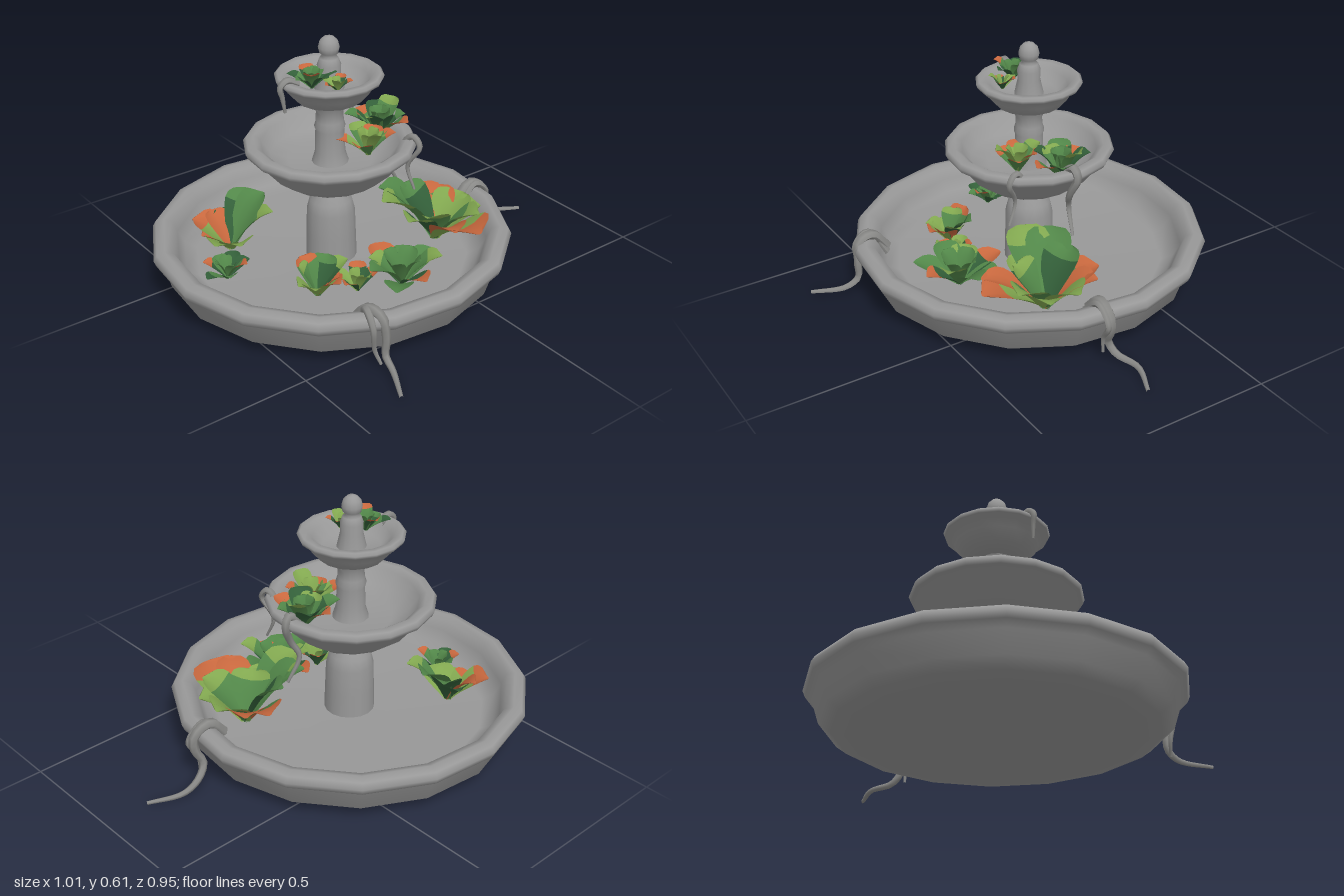
import * as THREE from 'three';

const mat = (name, color, side = THREE.FrontSide) => {
  const m = new THREE.MeshStandardMaterial({ color, side });
  m.name = name;
  return m;
};
const CX = -0.184, CZ = 0.165; // fountain axis

export function createModel() {
  const root = new THREE.Group();
  root.name = 'fountain';
  const stone = mat('stone grey', 0x989898);
  const vineMat = mat('vine grey', 0x8a8a88);
  const light = mat('leaf light green', 0x82a850, THREE.DoubleSide);
  const green = mat('leaf green', 0x528749, THREE.DoubleSide);
  const dark = mat('leaf dark green', 0x335f39, THREE.DoubleSide);
  const orange = mat('leaf orange', 0xc8683e, THREE.DoubleSide);

  // Turned stone parts: profiles run from bottom outside to top inside
  function turned(name, profile, sides) {
    const pts = profile.map(([r, y]) => new THREE.Vector2(r, y));
    const mesh = new THREE.Mesh(new THREE.LatheGeometry(pts, sides, 0.087), stone);
    mesh.name = name;
    mesh.position.set(CX, 0, CZ);
    root.add(mesh);
  }
  turned('lowerBasin', [[0, 0.575], [0.32, 0.575], [0.37, 0.585], [0.397, 0.605], [0.413, 0.655],
    [0.43, 0.668], [0.436, 0.683], [0.428, 0.697], [0.408, 0.702], [0.388, 0.695],
    [0.376, 0.67], [0.36, 0.64], [0.33, 0.624], [0, 0.62]], 16);
  turned('middleBowl', [[0, 0.815], [0.075, 0.82], [0.115, 0.833], [0.15, 0.86], [0.18, 0.9],
    [0.2, 0.91], [0.205, 0.921], [0.198, 0.931], [0.18, 0.933], [0.164, 0.922],
    [0.142, 0.89], [0.1, 0.875], [0, 0.872]], 16);
  turned('topBowl', [[0, 1.017], [0.045, 1.02], [0.078, 1.035], [0.1, 1.06], [0.11, 1.077],
    [0.124, 1.084], [0.127, 1.092], [0.12, 1.098], [0.104, 1.097], [0.092, 1.083],
    [0.068, 1.062], [0, 1.055]], 16);
  turned('lowerStem', [[0.062, 0.615], [0.06, 0.68], [0.058, 0.745], [0.051, 0.773], [0.039, 0.79],
    [0.036, 0.803], [0.055, 0.822]], 16);
  turned('upperStem', [[0.045, 0.87], [0.036, 0.9], [0.034, 0.955], [0.037, 0.965], [0.033, 0.978],
    [0.032, 1.0], [0.042, 1.022]], 14);
  turned('finial', [[0.036, 1.055], [0.027, 1.095], [0.028, 1.118], [0.022, 1.134], [0.015, 1.139],
    [0.022, 1.147], [0.025, 1.16], [0.021, 1.175], [0.012, 1.184], [0, 1.187]], 14);

  // Tapering vines
  function vine(name, points, radius) {
    const curve = new THREE.CatmullRomCurve3(points.map(p => new THREE.Vector3(...p)));
    const n = 24, sides = 6;
    const geo = new THREE.TubeGeometry(curve, n, radius, sides);
    const pos = geo.attributes.position, v = new THREE.Vector3();
    for (let i = 0; i < pos.count; i++) {
      const t = Math.floor(i / (sides + 1)) / n;
      const c = curve.getPointAt(t);
      v.fromBufferAttribute(pos, i).sub(c).multiplyScalar(1 - 0.7 * t).add(c);
      pos.setXYZ(i, v.x, v.y, v.z);
    }
    geo.computeVertexNormals();
    const mesh = new THREE.Mesh(geo, vineMat);
    mesh.name = name;
    root.add(mesh);
  }
  vine('frontVine', [[-0.35, 0.66, 0.48], [-0.345, 0.706, 0.52], [-0.338, 0.70, 0.557], [-0.332, 0.65, 0.567],
    [-0.335, 0.605, 0.568], [-0.34, 0.585, 0.6], [-0.378, 0.577, 0.676]], 0.015);
  vine('frontVineStrand', [[-0.34, 0.65, 0.485], [-0.355, 0.71, 0.525], [-0.362, 0.68, 0.558], [-0.355, 0.62, 0.555],
    [-0.345, 0.585, 0.565]], 0.012);
  vine('leftVine', [[0.165, 0.67, 0.228], [0.205, 0.71, 0.228], [0.247, 0.69, 0.23], [0.248, 0.655, 0.228],
    [0.23, 0.615, 0.222], [0.25, 0.588, 0.213], [0.31, 0.581, 0.196], [0.39, 0.577, 0.228]], 0.015);
  vine('leftVineStrand', [[0.17, 0.67, 0.24], [0.215, 0.71, 0.238], [0.256, 0.675, 0.24], [0.233, 0.63, 0.237],
    [0.23, 0.59, 0.235]], 0.012);
  vine('middleVine', [[-0.05, 0.90, 0.26], [-0.04, 0.942, 0.295], [-0.035, 0.92, 0.315], [-0.05, 0.865, 0.29],
    [-0.045, 0.81, 0.31]], 0.01);
  vine('middleSideVine', [[-0.03, 0.91, 0.17], [0.01, 0.942, 0.168], [0.021, 0.92, 0.165], [0, 0.87, 0.172],
    [-0.018, 0.83, 0.162], [0.012, 0.766, 0.17]], 0.013);
  vine('topVine', [[-0.27, 1.09, 0.16], [-0.3, 1.103, 0.16], [-0.316, 1.09, 0.16], [-0.312, 1.065, 0.162],
    [-0.308, 1.03, 0.165]], 0.011);

  // One cupped leaf pointing along +x, with its tip as a second material
  function leafGeometry(len, width, tilt) {
    const rows = 8, cols = 4, pos = [], idx = [];
    for (let i = 0; i <= rows; i++) {
      const t = i / rows;
      const half = width / 2 * (0.25 * (1 - t) + Math.pow(Math.sin(Math.PI * Math.pow(t, 1.5) * 0.96), 0.7));
      for (let j = 0; j <= cols; j++) {
        const s = j / cols * 2 - 1;
        pos.push(len * Math.cos(tilt) * t - 0.12 * width * s * s * t * Math.sin(tilt),
          len * Math.sin(tilt) * Math.sin(t * Math.PI / 2) + 0.3 * half * s * s, half * s);
        if (i < rows && j < cols) {
          const a = i * (cols + 1) + j, b = a + cols + 1;
          idx.push(a, a + 1, b, b, a + 1, b + 1);
        }
      }
    }
    const geo = new THREE.BufferGeometry();
    geo.setAttribute('position', new THREE.Float32BufferAttribute(pos, 3));
    geo.setIndex(idx);
    geo.computeVertexNormals();
    const split = 5 * cols * 6;
    geo.addGroup(0, split, 0);
    geo.addGroup(split, idx.length - split, 1);
    return geo;
  }
  // Leaf rows: azimuth (0 = +x, 90 = +z), length, width, tilt in degrees, body, tip
  function plant(name, [x, y, z], leaves) {
    const g = new THREE.Group();
    g.name = name;
    g.position.set(x, y, z);
    for (const [az, len, width, tilt, body, tip] of leaves) {
      const leaf = new THREE.Mesh(leafGeometry(len, width, THREE.MathUtils.degToRad(tilt)), [body, tip]);
      leaf.name = 'leaf';
      leaf.rotation.y = -THREE.MathUtils.degToRad(az);
      g.add(leaf);
    }
    root.add(g);
  }
  // Small rosette: an open outer ring and a few upright inner leaves
  function rosette(name, at, size, count, tilt, bodies, tips, start) {
    const leaves = [];
    for (let i = 0; i < count; i++) {
      const body = bodies[i % bodies.length], tip = tips[i % tips.length];
      const az = start + i * 360 / count;
      leaves.push([az, size * (1 + 0.12 * Math.sin(i * 2.3)), size * 0.55, tilt + 10 * Math.sin(i * 1.7), body, tip]);
      if (i % 2) leaves.push([az + 180 / count, size * 0.8, size * 0.4, tilt + 25, body, body]);
    }
    plant(name, at, leaves);
  }

  plant('largeSucculent', [0.055, 0.625, 0.275], [
    [-12, 0.14, 0.1, 38, light, light], [28, 0.14, 0.1, 36, light, light],
    [65, 0.15, 0.09, 40, green, light], [92, 0.19, 0.13, 28, light, orange],
    [112, 0.18, 0.08, 33, orange, orange], [-75, 0.16, 0.1, 35, green, orange],
    [-50, 0.15, 0.09, 36, orange, orange], [145, 0.13, 0.09, 50, green, light],
    [188, 0.21, 0.1, 43, green, light], [218, 0.2, 0.1, 45, green, green],
    [-110, 0.16, 0.09, 50, dark, green], [165, 0.15, 0.08, 40, dark, light],
  ]);
  rosette('frontSucculent', [-0.145, 0.625, 0.39], 0.115, 8, 32,
    [green, green, dark, green], [green, light, orange, green], 0);
  plant('smallFrontSucculent', [-0.33, 0.625, 0.31], [
    [180, 0.07, 0.06, 40, light, light], [130, 0.08, 0.06, 40, light, light],
    [75, 0.09, 0.06, 40, light, orange], [45, 0.08, 0.055, 45, orange, orange],
    [-100, 0.1, 0.06, 55, green, orange], [-30, 0.1, 0.06, 50, dark, green],
    [10, 0.11, 0.05, 45, dark, light], [225, 0.09, 0.05, 58, green, light],
  ]);
  rosette('frontSprig', [-0.245, 0.625, 0.35], 0.07, 5, 42, [dark, light], [orange, light], 20);
  plant('backSucculent', [-0.375, 0.625, 0.01], [
    [232, 0.12, 0.09, 36, light, orange], [262, 0.11, 0.06, 45, orange, orange],
    [-35, 0.16, 0.07, 45, dark, green], [-60, 0.11, 0.07, 42, dark, dark],
    [-5, 0.16, 0.08, 48, green, green], [105, 0.1, 0.08, 32, light, light],
    [150, 0.09, 0.08, 32, light, light], [40, 0.15, 0.07, 45, green, light],
    [195, 0.09, 0.07, 36, light, orange],
  ]);
  rosette('sideSucculent', [-0.455, 0.625, 0.12], 0.07, 7, 34, [dark, green], [dark, orange, green], 10);
  rosette('middleBowlSucculent', [-0.04, 0.895, 0.17], 0.095, 8, 44,
    [dark, green], [dark, light, green, orange], -60);
  rosette('middleBowlSprig', [-0.125, 0.895, 0.235], 0.085, 6, 40, [green, light], [orange, light, orange], 30);
  rosette('topBowlSucculent', [-0.24, 1.075, 0.175], 0.062, 7, 38, [dark, green], [dark, orange, green], 75);
  rosette('topBowlSprig', [-0.205, 1.075, 0.225], 0.045, 5, 38, [dark, light], [orange, light], 40);

  return root;
}
